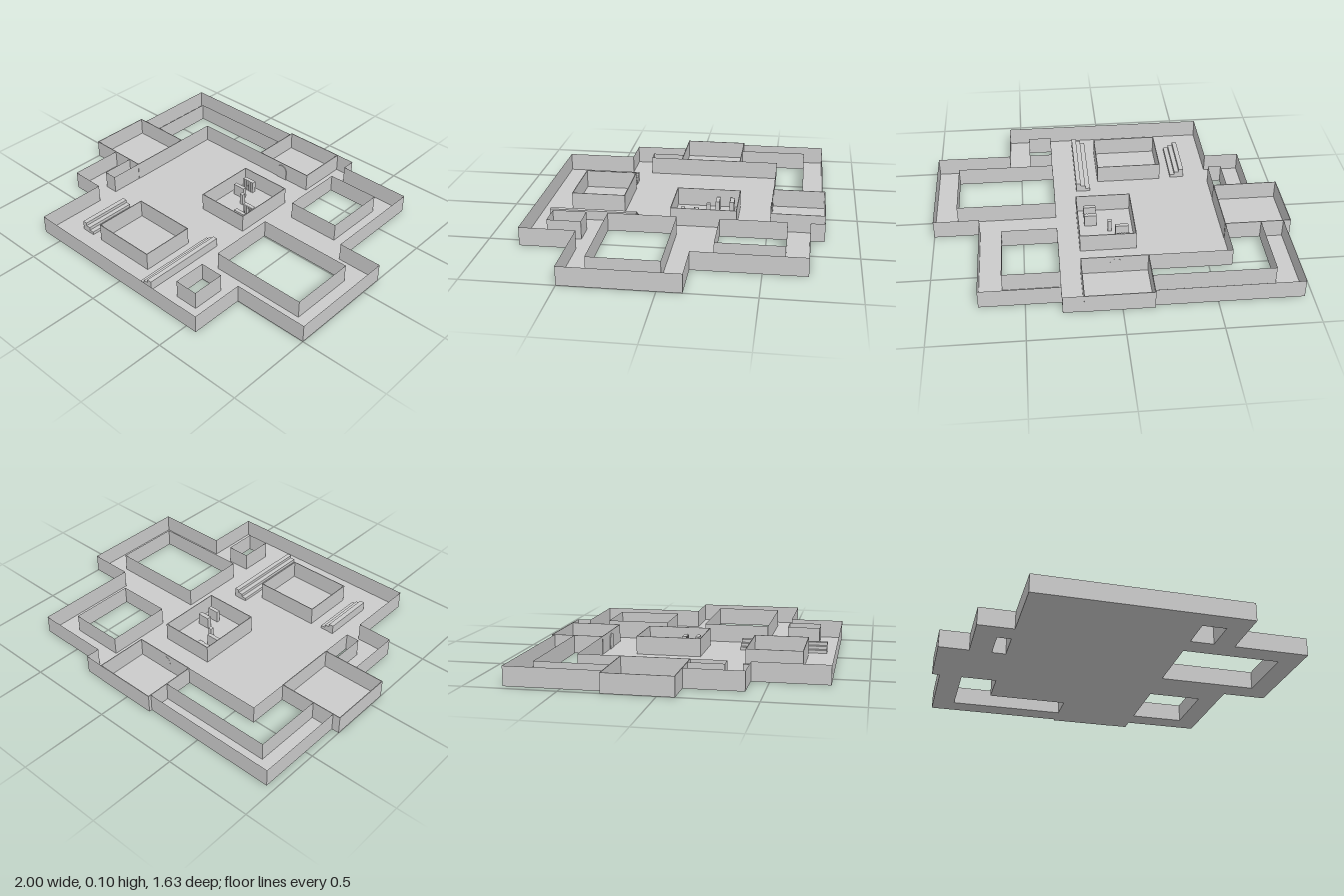
import * as THREE from 'three';

const H = 0.105; // wall height
const mat = new THREE.MeshStandardMaterial({ color: 0xcccccc, side: THREE.DoubleSide, flatShading: true });

// Plan points are [x, z]; extruded shapes are laid flat, rising along y
const toVec = (pts) => pts.map(([x, z]) => new THREE.Vector2(x, -z));
const rect = (x0, x1, z0, z1) => [[x0, z0], [x1, z0], [x1, z1], [x0, z1]];

const outline = [
  [-0.957, -0.8], [-0.17, -0.8], [-0.17, -0.815], [0.31, -0.815], [0.31, -0.735], [0.743, -0.735],
  [0.743, -0.13], [1, -0.13], [1, 0.5], [0.566, 0.5], [0.566, 0.813], [-0.628, 0.813],
  [-0.628, 0.405], [-0.83, 0.405], [-0.83, 0.09], [-1, 0.09], [-1, -0.283], [-0.957, -0.283],
];
const courtyards = [
  [[-0.83, -0.683], [-0.17, -0.683], [-0.17, -0.515], [-0.628, -0.515], [-0.628, -0.283], [-0.83, -0.283]],
  rect(-0.705, -0.628, 0.09, 0.283),
  rect(0.31, 0.62, -0.613, -0.242),
  rect(0.31, 0.873, -0.005, 0.38),
  rect(0.31, 0.445, 0.5, 0.69),
];

export function createModel() {
  const model = new THREE.Group();
  const add = (name, geo, x = 0, y = 0, z = 0, parent = model) => {
    const mesh = new THREE.Mesh(geo, mat);
    mesh.name = name;
    mesh.position.set(x, y, z);
    parent.add(mesh);
    return mesh;
  };
  const raise = (pts, height, holes = []) => {
    const shape = new THREE.Shape(toVec(pts));
    shape.holes = holes.map((h) => new THREE.Path(toVec(h)));
    const geo = height
      ? new THREE.ExtrudeGeometry(shape, { depth: height, bevelEnabled: false })
      : new THREE.ShapeGeometry(shape);
    return geo.rotateX(-Math.PI / 2);
  };

  // Floor with open courtyards
  add('floor', raise(outline, 0, courtyards));

  // Thin walls following each boundary loop
  const wallLoop = (name, pts) => {
    const group = new THREE.Group();
    group.name = name;
    pts.forEach(([x, z], i) => {
      const [nx, nz] = pts[(i + 1) % pts.length];
      const geo = new THREE.PlaneGeometry(Math.hypot(nx - x, nz - z), H);
      add('wall', geo, (x + nx) / 2, H / 2, (z + nz) / 2, group).rotation.y = -Math.atan2(nz - z, nx - x);
    });
    model.add(group);
  };
  wallLoop('outerWalls', outline);
  courtyards.forEach((c) => wallLoop('courtyardWalls', c));

  // Closed rooms and free-standing enclosures
  const T = 0.004;
  const enclosure = (name, x0, x1, z0, z1) =>
    add(name, raise(rect(x0, x1, z0, z1), H, [rect(x0 + T, x1 - T, z0 + T, z1 - T)]));
  enclosure('sideRoom', -1, -0.626, -0.283, 0.091);
  enclosure('backRoom', -0.17, 0.199, -0.817, -0.513);
  enclosure('centreEnclosure', -0.125, 0.19, -0.325, 0.048);
  enclosure('frontEnclosure', -0.34, 0.04, 0.335, 0.647);

  // Three-step bleachers, rising away from the front enclosure
  const bleachers = (name, inner, dir, z0, z1) => {
    const group = new THREE.Group();
    group.name = name;
    const w = 0.027;
    for (let i = 0; i < 3; i++) {
      const h = 0.018 * (i + 1);
      add('step', new THREE.BoxGeometry(w, h, z1 - z0), inner + dir * w * (i + 0.5), h / 2, (z0 + z1) / 2, group);
    }
    model.add(group);
  };
  bleachers('rightBleachers', -0.407, -1, 0.343, 0.648);
  bleachers('leftBleachers', 0.094, 1, 0.245, 0.747);

  // Upright panels in the centre enclosure, some with a scalloped face
  const panel = (x0, x1, z0, z1, scalloped) => {
    const pts = [[x0, z0], [x1, z0], [x1, z1]];
    if (scalloped) {
      for (let i = 1; i < 10; i++) pts.push([x1 + (x0 - x1) * i / 10, z1 - (i % 2) * 0.005]);
    }
    pts.push([x0, z1]);
    add('panel', raise(pts, 0.07));
  };
  panel(-0.092, -0.018, -0.295, -0.268, true);
  panel(-0.092, -0.018, -0.21, -0.188, false);
  panel(0.08, 0.15, -0.102, -0.075, true);
  panel(0.08, 0.15, -0.022, 0, false);
  add('post', new THREE.BoxGeometry(0.022, 0.07, 0.022), 0.01, 0.035, -0.15);

  // Arched door of the back room
  const arch = new THREE.Shape();
  arch.moveTo(-0.035, 0);
  arch.lineTo(0.035, 0);
  arch.lineTo(0.035, 0.055);
  arch.absarc(0, 0.055, 0.035, 0, Math.PI, false);
  arch.closePath();
  add('archedDoor', new THREE.ExtrudeGeometry(arch, { depth: 0.01, bevelEnabled: false }), 0.007, 0, -0.518);

  return model;
}
